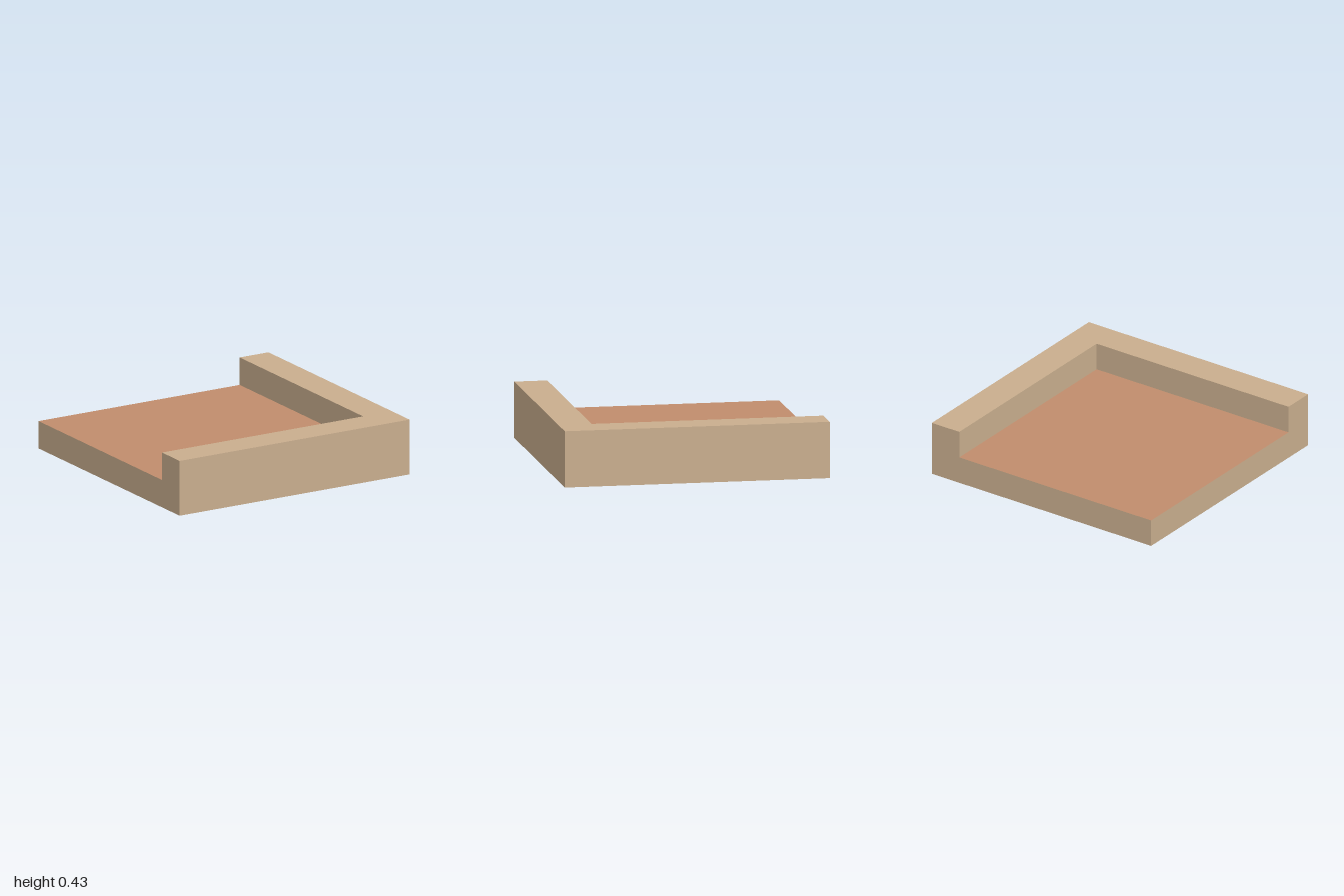
import * as THREE from 'three';

const HALF = 1;        // half the footprint
const INNER = 0.75;    // inner edge of the curb
const FLOOR = 0.212;   // slab height
const TOP = 0.425;     // curb height

export function createModel() {
  const model = new THREE.Group();
  model.name = 'cornerTile';

  const stone = new THREE.MeshStandardMaterial({ color: 0xc9ae8e });
  stone.name = 'sandStone';
  const clay = new THREE.MeshStandardMaterial({ color: 0xc18d6d });
  clay.name = 'terracottaFloor';

  // Base slab: stone sides with a terracotta top face
  const slab = new THREE.Mesh(
    new THREE.BoxGeometry(2 * HALF, FLOOR, 2 * HALF),
    [stone, stone, clay, stone, stone, stone]
  );
  slab.name = 'floorSlab';
  slab.position.y = FLOOR / 2;
  model.add(slab);

  // L-shaped curb along the front and left edges, drawn as (x, -z)
  const outline = new THREE.Shape([
    [-HALF, -HALF], [HALF, -HALF], [HALF, HALF],
    [INNER, HALF], [INNER, -INNER], [-HALF, -INNER],
  ].map(([x, y]) => new THREE.Vector2(x, y)));
  const curbGeometry = new THREE.ExtrudeGeometry(outline, { depth: TOP - FLOOR, bevelEnabled: false });
  curbGeometry.rotateX(-Math.PI / 2);
  const curb = new THREE.Mesh(curbGeometry, stone);
  curb.name = 'cornerCurb';
  curb.position.y = FLOOR;
  model.add(curb);

  return model;
}
